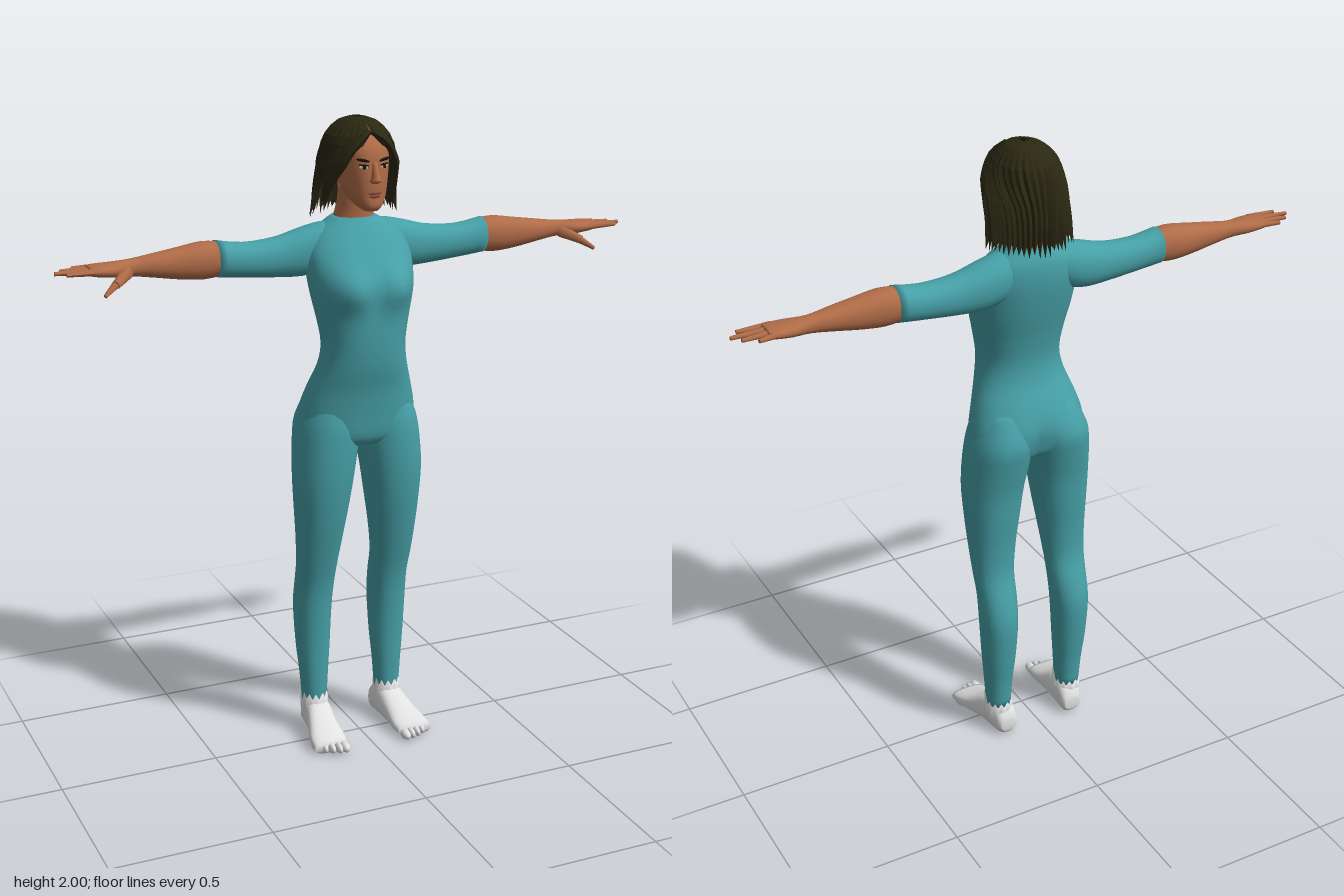
import * as THREE from 'three';

const mat = (name, color, side = THREE.FrontSide) => {
  const m = new THREE.MeshStandardMaterial({ color, side });
  m.name = name;
  return m;
};

// Indexed geometry from a grid of points, optionally closed around and capped
function skin(rows, closed) {
  const n = rows[0].length, pos = rows.flat(2), idx = [];
  for (let i = 0; i < rows.length - 1; i++)
    for (let j = 0; j < (closed ? n : n - 1); j++) {
      const a = i * n + j, b = i * n + (j + 1) % n, c = a + n, d = b + n;
      idx.push(a, b, d, a, d, c);
    }
  if (closed) {
    [0, rows.length - 1].forEach((r, k) => {
      const ctr = [0, 1, 2].map(q => rows[r].reduce((s, p) => s + p[q], 0) / n);
      const id = pos.length / 3;
      pos.push(...ctr);
      for (let j = 0; j < n; j++) {
        const a = r * n + j, b = r * n + (j + 1) % n;
        k ? idx.push(a, b, id) : idx.push(b, a, id);
      }
    });
  }
  const g = new THREE.BufferGeometry();
  g.setAttribute('position', new THREE.Float32BufferAttribute(pos, 3));
  g.setIndex(idx);
  g.computeVertexNormals();
  return g;
}

// Smoothly interpolated table rows
function refine(rows, sub) {
  const out = [];
  for (let i = 0; i < rows.length - 1; i++) {
    const p = rows[Math.max(i - 1, 0)], a = rows[i], b = rows[i + 1], q = rows[Math.min(i + 2, rows.length - 1)];
    for (let s = 0; s < sub; s++) {
      const t = s / sub;
      out.push(a.map((v, k) => 0.5 * (2 * v + (b[k] - p[k]) * t + (2 * p[k] - 5 * v + 4 * b[k] - q[k]) * t * t
        + (3 * v - p[k] - 3 * b[k] + q[k]) * t * t * t)));
    }
  }
  out.push(rows[rows.length - 1]);
  return out;
}

// Rows ascend along the axis: [position, aMin, aMax, bMin, bMax]
// a,b are z,x for axis y; y,z for axis x; x,y for axis z
function loft(axis, table, { sub = 3, seg = 24, n = 2.2, warp } = {}) {
  const ax = 'xyz'.indexOf(axis);
  const pw = v => Math.sign(v) * Math.abs(v) ** (2 / n);
  return skin(refine(table, sub).map(([p, a0, a1, b0, b1]) =>
    Array.from({ length: seg }, (_, j) => {
      const t = j / seg * Math.PI * 2, v = [0, 0, 0];
      v[ax] = p;
      v[(ax + 1) % 3] = (a0 + a1) / 2 + (a1 - a0) / 2 * pw(Math.cos(t));
      v[(ax + 2) % 3] = (b0 + b1) / 2 + (b1 - b0) / 2 * pw(Math.sin(t));
      if (warp) warp(v, j);
      return v;
    })), true);
}

function flip(geo) {
  const g = geo.clone().scale(-1, 1, 1), ix = g.index.array;
  for (let i = 0; i < ix.length; i += 3) [ix[i], ix[i + 1]] = [ix[i + 1], ix[i]];
  g.computeVertexNormals();
  return g;
}

const taper = (p, q, r0, r1) => {
  const a = new THREE.Vector3(...p), b = new THREE.Vector3(...q), d = b.clone().sub(a);
  const g = new THREE.CylinderGeometry(r1, r0, d.length(), 7);
  g.applyQuaternion(new THREE.Quaternion().setFromUnitVectors(new THREE.Vector3(0, 1, 0), d.normalize()));
  const m = a.add(b).multiplyScalar(0.5);
  return g.translate(m.x, m.y, m.z);
};
const blob = (x, y, z, sx, sy, sz, ry = 0, rz = 0) =>
  new THREE.SphereGeometry(1, 12, 8).scale(sx, sy, sz).rotateZ(rz).rotateY(ry).translate(x, y, z);

export function createModel() {
  const root = new THREE.Group();
  root.name = 'woman';
  const suit = mat('teal suit', 0x46a0a7), flesh = mat('skin', 0xb06c48), white = mat('white feet', 0xe2e2e2);
  const dark = mat('dark hair', 0x2a2712, THREE.DoubleSide), ink = mat('eye black', 0x17120e);
  const lip = mat('lips', 0x8c4c3a), eyeWhite = mat('eye white', 0xcfc4b8);
  const add = (name, geo, m) => {
    const mesh = new THREE.Mesh(geo, m);
    mesh.name = name;
    root.add(mesh);
  };
  const pair = (name, geo, m) => {
    add('left' + name, geo, m);
    add('right' + name, flip(geo), m);
  };

  // Torso with bust and a shallow groove between the buttocks
  add('torso', loft('y', [
    [1.0, -0.10, 0.06, -0.10, 0.10], [1.03, -0.13, 0.08, -0.18, 0.18], [1.1, -0.145, 0.09, -0.187, 0.187],
    [1.18, -0.12, 0.102, -0.166, 0.166], [1.25, -0.088, 0.12, -0.142, 0.142], [1.32, -0.078, 0.13, -0.131, 0.131],
    [1.4, -0.09, 0.132, -0.143, 0.143], [1.47, -0.107, 0.125, -0.157, 0.157], [1.54, -0.122, 0.115, -0.166, 0.166],
    [1.6, -0.13, 0.085, -0.165, 0.165], [1.65, -0.128, 0.05, -0.14, 0.14], [1.68, -0.118, 0.028, -0.1, 0.1],
    [1.7, -0.108, 0.012, -0.066, 0.066]], {
    seg: 40,
    warp: v => {
      const [x, y, z] = v;
      if (z > 0.02) v[2] += 0.04 * Math.exp(-(((Math.abs(x) - 0.075) / 0.065) ** 2) - ((y - 1.5) / 0.06) ** 2);
      if (z < -0.05) v[2] += 0.02 * Math.exp(-((x / 0.02) ** 2) - ((y - 1.06) / 0.06) ** 2);
    } }), suit);

  // Legs
  pair('Leg', loft('y', [
    [0.1, -0.118, -0.034, 0.09, 0.168], [0.2, -0.126, -0.03, 0.084, 0.175], [0.3, -0.14, -0.027, 0.076, 0.184],
    [0.43, -0.15, -0.018, 0.07, 0.19], [0.52, -0.132, -0.006, 0.066, 0.19], [0.6, -0.107, 0.015, 0.062, 0.194],
    [0.7, -0.106, 0.042, 0.05, 0.2], [0.8, -0.115, 0.064, 0.035, 0.206], [0.9, -0.123, 0.078, 0.02, 0.21],
    [1.0, -0.142, 0.083, 0.005, 0.204], [1.08, -0.15, 0.08, 0.0, 0.19], [1.17, -0.11, 0.06, 0.01, 0.15]]), suit);

  // Sleeves, forearms and palms
  pair('Sleeve', loft('x', [
    [0.06, 1.57, 1.685, -0.11, 0.005], [0.11, 1.54, 1.683, -0.118, 0.01], [0.17, 1.525, 1.67, -0.117, 0.005],
    [0.25, 1.528, 1.649, -0.11, -0.003], [0.35, 1.537, 1.642, -0.106, -0.004], [0.44, 1.546, 1.656, -0.105, -0.005]]), suit);
  pair('Forearm', loft('x', [
    [0.42, 1.551, 1.65, -0.1, -0.01], [0.48, 1.544, 1.656, -0.103, -0.005], [0.55, 1.55, 1.646, -0.098, -0.008],
    [0.63, 1.563, 1.634, -0.09, -0.016], [0.7, 1.573, 1.624, -0.082, -0.026], [0.76, 1.577, 1.62, -0.092, -0.008],
    [0.81, 1.584, 1.618, -0.094, -0.004], [0.83, 1.589, 1.614, -0.09, -0.008]]), flesh);

  // Fingers: base z, tip x, tip z
  [[-0.08, 0.865, -0.097], [-0.06, 0.905, -0.07], [-0.037, 0.928, -0.042], [-0.016, 0.9, -0.012]].forEach(([z, tx, tz], i) => {
    pair('Finger' + (i + 1), taper([0.8, 1.602, z], [tx, 1.602, tz], 0.012, 0.006), flesh);
  });
  pair('ThumbBase', taper([0.715, 1.59, -0.035], [0.765, 1.566, 0.012], 0.02, 0.013), flesh);
  pair('ThumbTip', taper([0.758, 1.57, 0.005], [0.802, 1.54, 0.03], 0.013, 0.006), flesh);

  // Feet with toes and a ragged upper edge
  pair('Foot', loft('z', [
    [-0.135, 0.095, 0.145, 0.015, 0.055], [-0.12, 0.085, 0.158, 0.0, 0.09], [-0.08, 0.083, 0.168, 0.0, 0.115],
    [-0.03, 0.085, 0.175, 0.0, 0.105], [0.02, 0.088, 0.188, 0.0, 0.075], [0.07, 0.085, 0.202, 0.0, 0.052],
    [0.115, 0.092, 0.204, 0.0, 0.036]], { n: 2.6 }), white);
  for (let i = 0; i < 5; i++)
    pair('Toe' + (i + 1), blob(0.107 + i * 0.021, 0.016, 0.125 - i * i * 0.0025, i ? 0.011 : 0.015, 0.016, 0.03), white);
  pair('AnkleEdge', loft('y', [[0.04, -0.124, -0.02, 0.084, 0.172], [0.11, -0.124, -0.028, 0.086, 0.172]], {
    sub: 1, warp: (v, j) => { if (v[1] > 0.1) v[1] += (j % 2 ? 0.018 : -0.004) + (v[2] > -0.07 ? 0.008 : -0.012); }
  }), white);

  // Neck and head
  add('neck', loft('y', [[1.66, -0.11, 0.012, -0.075, 0.075], [1.705, -0.1, 0.01, -0.06, 0.06],
    [1.75, -0.09, 0.015, -0.052, 0.052], [1.8, -0.09, 0.02, -0.05, 0.05]]), flesh);
  add('head', loft('y', [
    [1.735, 0.05, 0.103, -0.022, 0.022], [1.75, 0.0, 0.114, -0.038, 0.038], [1.78, -0.04, 0.112, -0.056, 0.056],
    [1.82, -0.09, 0.113, -0.067, 0.067], [1.87, -0.11, 0.11, -0.075, 0.075], [1.92, -0.11, 0.101, -0.077, 0.077],
    [1.96, -0.09, 0.065, -0.058, 0.058], [1.975, -0.06, 0.03, -0.03, 0.03]], { n: 2.4, seg: 28 }), flesh);

  // Face
  add('nose', loft('y', [[1.818, 0.1, 0.118, -0.01, 0.01], [1.826, 0.09, 0.136, -0.017, 0.017],
    [1.84, 0.09, 0.134, -0.012, 0.012], [1.88, 0.09, 0.113, -0.007, 0.007]], { seg: 12 }), flesh);
  add('upperLip', blob(0, 1.79, 0.112, 0.022, 0.005, 0.0045), lip);
  add('lowerLip', blob(0, 1.781, 0.112, 0.018, 0.006, 0.0045), lip);
  pair('EyeWhite', blob(0.033, 1.866, 0.1045, 0.014, 0.006, 0.004, 0.22, 0.1), eyeWhite);
  pair('Pupil', blob(0.032, 1.866, 0.1065, 0.0065, 0.0055, 0.004, 0.22), ink);
  pair('EyeLid', blob(0.033, 1.8725, 0.1055, 0.016, 0.003, 0.004, 0.22, 0.1), ink);
  pair('Brow', blob(0.035, 1.887, 0.1035, 0.021, 0.0045, 0.0045, 0.22, 0.2), ink);
  pair('Ear', blob(0.082, 1.852, -0.012, 0.011, 0.034, 0.02, 0.35), flesh);

  // Hair shell: [y, half width, back z, front z, half angle of the face opening]
  let seed = 7;
  const rnd = () => (seed = (seed * 16807) % 2147483647) / 2147483647;
  const cols = 56;
  const ridge = Array.from({ length: cols + 1 }, (_, j) => (j % 2 ? 0.03 : -0.03) + (rnd() - 0.5) * 0.05);
  const hang = ridge.map((_, j) => (j % 2 ? -0.022 : 0.012) + (rnd() - 0.5) * 0.02);
  const hairRows = refine([
    [2.0, 0.012, -0.035, 0.0, 0], [1.988, 0.055, -0.085, 0.045, 0], [1.95, 0.092, -0.128, 0.09, 0.1],
    [1.9, 0.108, -0.146, 0.108, 0.6], [1.85, 0.118, -0.154, 0.1, 1.2], [1.79, 0.127, -0.158, 0.085, 1.42],
    [1.73, 0.134, -0.155, 0.07, 1.5]], 2);
  const hair = skin(hairRows.map(([y, rx, zb, zf, gap], i) => ridge.map((r, j) => {
    const t = gap + (Math.PI * 2 - 2 * gap) * j / cols, w = i / (hairRows.length - 1), k = 1 + r * Math.min(1, w * 2.5);
    const back = (1 - Math.cos(t)) / 2;
    return [rx * k * Math.sin(t), y + hang[j] * w ** 4 - 0.012 * back * w, (zb + zf) / 2 + (zf - zb) / 2 * k * Math.cos(t)];
  })), false).toNonIndexed();
  hair.computeVertexNormals();
  add('hair', hair, dark);

  // Swept locks framing the face
  for (let i = 0; i < 4; i++) {
    const s = i * 0.014;
    const path = new THREE.CatmullRomCurve3([[0.004 + s, 1.965 + s * 0.2, 0.078 - s], [0.045 + s * 0.5, 1.935, 0.088 - s],
      [0.078 + s * 0.4, 1.885, 0.07 - s * 1.2], [0.1 + s * 0.3, 1.82 - s, 0.035 - s], [0.112, 1.75 - s * 0.5, 0.008 - s]]
      .map(p => new THREE.Vector3(...p)));
    const g = new THREE.TubeGeometry(path, 14, 0.015, 6);
    const p = g.attributes.position, c = new THREE.Vector3(), v = new THREE.Vector3();
    // Taper towards the tip
    for (let k = 0; k < p.count; k++) {
      const u = Math.floor(k / 7) / 14;
      path.getPointAt(u, c);
      v.fromBufferAttribute(p, k).sub(c).multiplyScalar(u < 0.5 ? 0.6 + 0.8 * u : 1.95 * (1 - u) + 0.03).add(c);
      p.setXYZ(k, v.x, v.y, v.z);
    }
    g.computeVertexNormals();
    pair('Lock' + (i + 1), g, dark);
  }
  return root;
}
